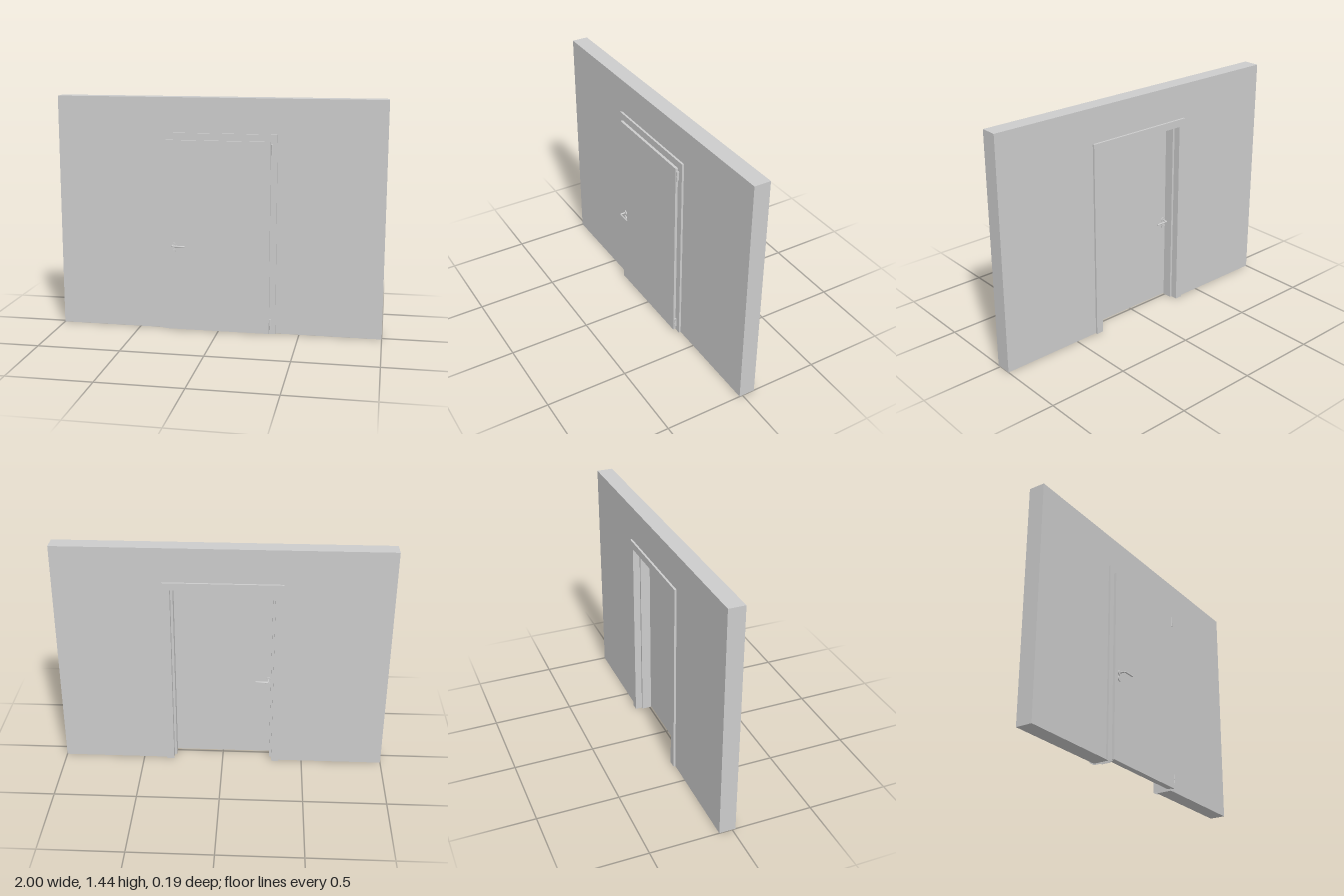
import * as THREE from 'three';

const WALL_FRONT = 0.02, WALL_BACK = -0.08;
const LEAF_FRONT = 0.051, LEAF_BACK = 0.01;
const LATCH_X = -0.278;

function createMaterial(side = THREE.FrontSide) {
  return new THREE.MeshStandardMaterial({ color: 0xcccccc, side });
}

function addMesh(parent, name, geometry, x = 0, y = 0, z = 0, material = createMaterial()) {
  const mesh = new THREE.Mesh(geometry, material);
  mesh.name = name;
  mesh.position.set(x, y, z);
  parent.add(mesh);
  return mesh;
}

// Box given by its minimum and maximum corners
function addBox(parent, name, [x0, y0, z0], [x1, y1, z1]) {
  return addMesh(parent, name, new THREE.BoxGeometry(x1 - x0, y1 - y0, z1 - z0),
    (x0 + x1) / 2, (y0 + y1) / 2, (z0 + z1) / 2);
}

// Wall slab with a doorway notched out of its lower edge
function wallGeometry() {
  const outline = [[-1, 0], [-0.33, 0], [-0.33, 1.203], [0.33, 1.203], [0.33, 0], [1, 0], [1, 1.44], [-1, 1.44]];
  const shape = new THREE.Shape(outline.map(([x, y]) => new THREE.Vector2(x, y)));
  return new THREE.ExtrudeGeometry(shape, { depth: WALL_FRONT - WALL_BACK, bevelEnabled: false });
}

// Folded sheet profile (half width, z) carried up one jamb, over the head and down the other
function frameGeometry() {
  const profile = [
    [0.355, WALL_FRONT], [0.355, 0.033], [0.309, 0.033], [0.309, LEAF_BACK], [0.295, LEAF_BACK],
    [0.295, -0.05], [0.309, -0.05], [0.309, -0.093], [0.355, -0.093], [0.355, WALL_BACK],
  ];
  const section = ([d, z]) => [[d, 0, z], [d, 0.873 + d, z], [-d, 0.873 + d, z], [-d, 0, z]];
  const positions = [];
  for (let k = 0; k < profile.length - 1; k++) {
    const p = section(profile[k]), q = section(profile[k + 1]);
    for (let i = 0; i < 3; i++) {
      positions.push(...p[i], ...p[i + 1], ...q[i + 1], ...p[i], ...q[i + 1], ...q[i]);
    }
  }
  const geometry = new THREE.BufferGeometry();
  geometry.setAttribute('position', new THREE.Float32BufferAttribute(positions, 3));
  geometry.computeVertexNormals();
  return geometry;
}

// Short cylinder whose axis points along z
function discGeometry(radius, depth) {
  return new THREE.CylinderGeometry(radius, radius, depth, 32).rotateX(Math.PI / 2);
}

// Rose, lever and key plate, built outward along +z from the leaf surface
function createHandle(reach) {
  const handle = new THREE.Group();
  const r = 0.005, bend = 0.008;
  addMesh(handle, 'handleRose', discGeometry(0.016, 0.006), 0, 0, 0.003);
  const path = new THREE.CurvePath();
  const v = (x, z) => new THREE.Vector3(x, 0, z);
  path.add(new THREE.LineCurve3(v(0, 0), v(0, reach - bend)));
  path.add(new THREE.QuadraticBezierCurve3(v(0, reach - bend), v(0, reach), v(bend, reach)));
  path.add(new THREE.LineCurve3(v(bend, reach), v(0.078, reach)));
  addMesh(handle, 'lever', new THREE.TubeGeometry(path, 48, r, 16));
  addMesh(handle, 'leverTip', discGeometry(r, 0.001).rotateY(Math.PI / 2), 0.078, 0, reach);

  addMesh(handle, 'keyRose', discGeometry(0.016, 0.006), 0, -0.037, 0.003);
  addMesh(handle, 'keyCylinder', discGeometry(0.0055, 0.002), 0, -0.034, 0.007);
  addBox(handle, 'keyCylinderTail', [-0.0025, -0.046, 0.006], [0.0025, -0.036, 0.008]);
  return handle;
}

// Two stacked knuckles with a narrow joint, and a flap behind them
function createHinge() {
  const hinge = new THREE.Group();
  const knuckle = new THREE.CylinderGeometry(0.0055, 0.0055, 0.031, 20);
  for (const y of [-0.0165, 0.0165]) addMesh(hinge, 'hingeKnuckle', knuckle, 0, y, 0);
  addMesh(hinge, 'hingePin', new THREE.CylinderGeometry(0.003, 0.003, 0.064, 12));
  addBox(hinge, 'hingeFlap', [-0.008, -0.028, -0.012], [0.002, 0.028, -0.003]);
  return hinge;
}

export function createModel() {
  const model = new THREE.Group();
  model.name = 'doorInWall';

  addMesh(model, 'wall', wallGeometry(), 0, 0, WALL_BACK);
  addMesh(model, 'doorFrame', frameGeometry(), 0, 0, 0, createMaterial(THREE.DoubleSide));

  // Rebated leaf: a core in the frame and a wider face lapping over it
  const door = new THREE.Group();
  door.name = 'door';
  addBox(door, 'leafCore', [-0.305, 0.004, LEAF_BACK + 0.001], [0.305, 1.176, 0.036]);
  addBox(door, 'leafFace', [-0.321, 0.004, 0.035], [0.317, 1.186, LEAF_FRONT]);
  model.add(door);

  const frontHandle = createHandle(0.037);
  frontHandle.name = 'frontHandle';
  frontHandle.position.set(LATCH_X, 0.54, LEAF_FRONT);
  const backHandle = createHandle(0.037);
  backHandle.name = 'backHandle';
  backHandle.position.set(LATCH_X, 0.54, LEAF_BACK + 0.001);
  // Turn to face the back, keeping the lever toward the hinges
  backHandle.traverse((part) => {
    if (part.isMesh && part.name.startsWith('lever')) {
      part.geometry.rotateZ(Math.PI);
      part.position.x *= -1;
    }
  });
  backHandle.rotation.y = Math.PI;
  door.add(frontHandle, backHandle);

  for (const [name, y] of [['lowerHinge', 0.062], ['upperHinge', 1.138]]) {
    const hinge = createHinge();
    hinge.name = name;
    hinge.position.set(0.325, y, 0.045);
    model.add(hinge);
  }
  return model;
}
